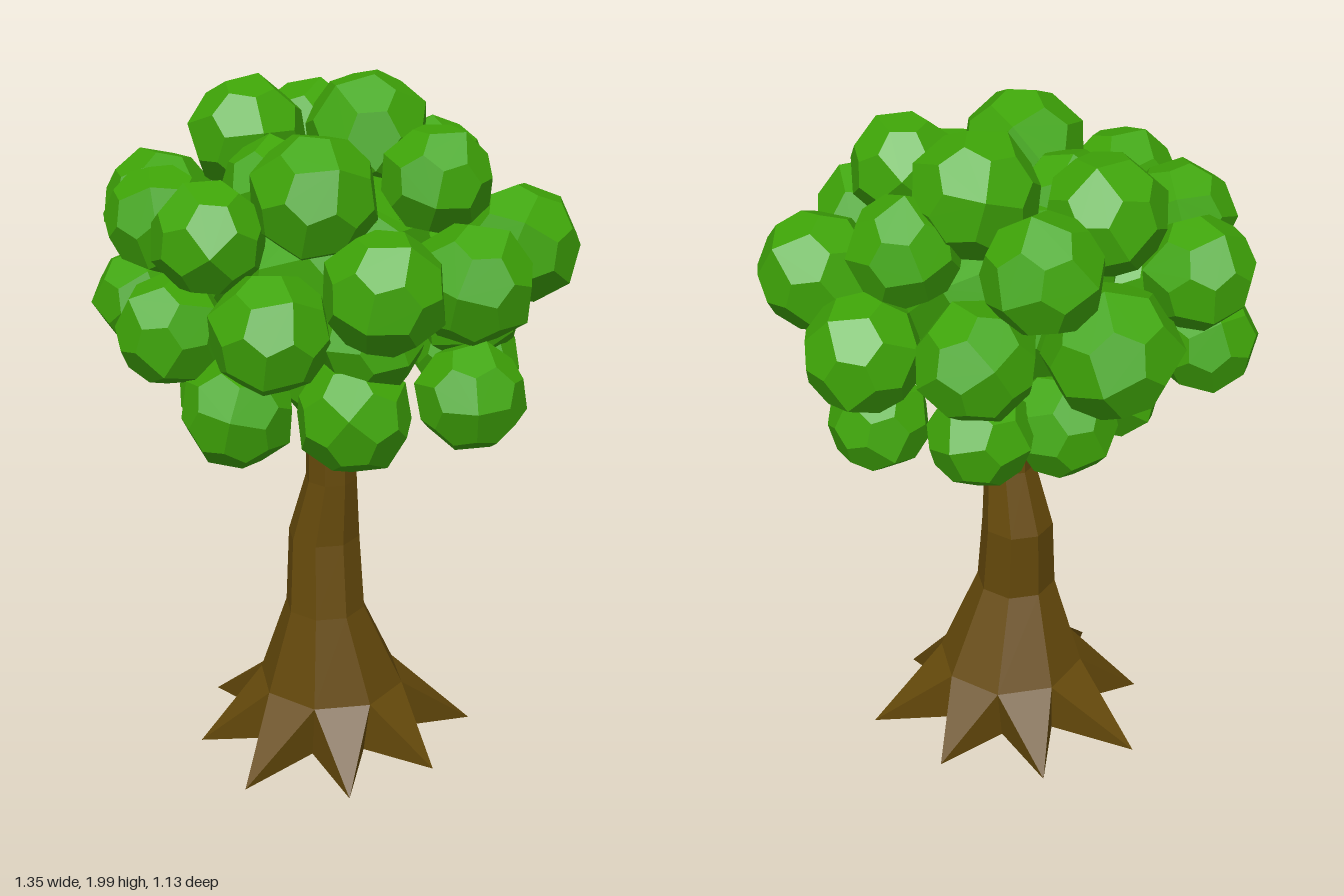
import * as THREE from 'three';
import { ConvexGeometry } from 'three/addons/geometries/ConvexGeometry.js';

const bark = new THREE.MeshStandardMaterial({ color: 0x664a0b, flatShading: true });
const leaf = new THREE.MeshStandardMaterial({ color: 0x3fa508, flatShading: true });

// Faceted ball of 24 uneven pentagons (pentagonal icositetrahedron)
function ballGeometry() {
  const t = 1.83929, size = 6.0, points = [];
  const add = (x, y, z) => points.push(new THREE.Vector3(x, y, z).divideScalar(size));
  for (const s of [1, -1]) {
    add(s * t ** 3, 0, 0);
    add(0, s * t ** 3, 0);
    add(0, 0, s * t ** 3);
    for (const u of [1, -1]) for (const v of [1, -1]) {
      add(s * t * t, u * t * t, v * t * t);
      // Even sign products take one cyclic order of the axes, odd ones the other
      const a = s, b = u * (2 * t + 1), c = v * t * t;
      if (s * u * v > 0) { add(a, b, c); add(b, c, a); add(c, a, b); }
      else { add(a, c, b); add(c, b, a); add(b, a, c); }
    }
  }
  return new ConvexGeometry(points);
}

// Eight-sided trunk that bends through its rings and ends in eight pointed roots
function trunkGeometry() {
  const N = 8, verts = [];
  const tri = (...p) => p.forEach(v => verts.push(...v));
  const at = (i, r, y, cx = 0, cz = 0) => {
    const a = i / N * Math.PI * 2;
    return [cx + Math.sin(a) * r, y, cz + Math.cos(a) * r];
  };
  // y, centre x, centre z, radius
  const rings = [
    [0.2, 0.01, 0.0, 0.215], [0.46, 0, 0.035, 0.117], [0.68, -0.008, 0.015, 0.105],
    [0.87, 0.018, 0.035, 0.075], [1.25, 0.015, 0.04, 0.066],
  ];
  const rootLengths = [0.385, 0.38, 0.435, 0.4, 0.41, 0.425, 0.385, 0.41];
  const ring = (k, i) => at(i, rings[k][3], rings[k][0], rings[k][1], rings[k][2]);
  // Fix the ring argument order: radius, height, centre
  const centre = [0, 0.07, 0], top = [0.015, 1.25, 0.04];
  for (let i = 0; i < N; i++) {
    for (let k = 0; k < rings.length - 1; k++) {
      const a = ring(k, i), b = ring(k, i + 1), c = ring(k + 1, i + 1), d = ring(k + 1, i);
      tri(a, b, c, a, c, d);
    }
    tri(top, ring(4, i), ring(4, i + 1));
    // Root: ridge face, two flanks and underside
    const tip = at(i + 0.5, rootLengths[i], i === 3 || i === 4 ? 0.04 : 0.005);
    const v0 = at(i, 0.2, 0.04), v1 = at(i + 1, 0.2, 0.04);
    const r0 = ring(0, i), r1 = ring(0, i + 1);
    tri(tip, r1, r0, v0, tip, r0, tip, v1, r1, centre, tip, v0, centre, v1, tip);
  }
  const g = new THREE.BufferGeometry();
  g.setAttribute('position', new THREE.Float32BufferAttribute(verts, 3));
  g.computeVertexNormals();
  return g;
}

// Leaf balls by layer: x, y, z, radius
const layers = {
  crownTop: [
    [0.07, 1.83, -0.18, 0.177], [-0.27, 1.8, -0.17, 0.17], [0.02, 1.77, 0.24, 0.177],
    [0.31, 1.78, 0.05, 0.155], [-0.15, 1.74, -0.41, 0.167], [0.24, 1.7, -0.27, 0.157],
    [-0.14, 1.72, 0.05, 0.147],
  ],
  crownUpper: [
    [-0.25, 1.66, 0.31, 0.16], [-0.43, 1.65, 0.16, 0.154], [-0.51, 1.61, -0.09, 0.16],
    [0.24, 1.57, 0.38, 0.17], [0.44, 1.55, 0.2, 0.17], [0.51, 1.55, -0.15, 0.172],
    [0.08, 1.6, 0.05, 0.16],
  ],
  crownMiddle: [
    [-0.06, 1.44, 0.4, 0.17], [-0.36, 1.39, 0.31, 0.157], [-0.53, 1.36, 0, 0.15],
    [-0.31, 1.45, -0.265, 0.19], [0.03, 1.45, -0.385, 0.168], [0.34, 1.43, -0.36, 0.168],
    [0.4, 1.41, 0, 0.152], [0.18, 1.4, 0.28, 0.15], [-0.3, 1.5, 0.05, 0.16],
  ],
  crownBottom: [
    [-0.17, 1.18, 0.34, 0.157], [0.15, 1.2, 0.34, 0.16], [0.45, 1.25, 0.25, 0.152],
    [0.39, 1.25, -0.03, 0.147], [0.32, 1.18, -0.29, 0.145], [0.03, 1.2, -0.34, 0.152],
    [-0.17, 1.18, -0.21, 0.158], [-0.27, 1.12, 0.08, 0.142], [0.04, 1.17, 0.03, 0.157],
  ],
  crownCore: [[0, 1.48, 0, 0.32]],
};

export function createModel() {
  const tree = new THREE.Group();
  tree.name = 'tree';

  const trunk = new THREE.Mesh(trunkGeometry(), bark);
  trunk.name = 'trunkAndRoots';
  tree.add(trunk);

  const ball = ballGeometry();
  let turn = 0;
  for (const [name, balls] of Object.entries(layers)) {
    const layer = new THREE.Group();
    layer.name = name;
    for (const [x, y, z, r] of balls) {
      const puff = new THREE.Mesh(ball, leaf);
      puff.name = 'leafBall';
      puff.position.set(x, y, z);
      puff.scale.setScalar(r);
      turn++;
      puff.rotation.set(turn * 1.3, turn * 2.1, turn * 0.7);
      layer.add(puff);
    }
    tree.add(layer);
  }
  return tree;
}
